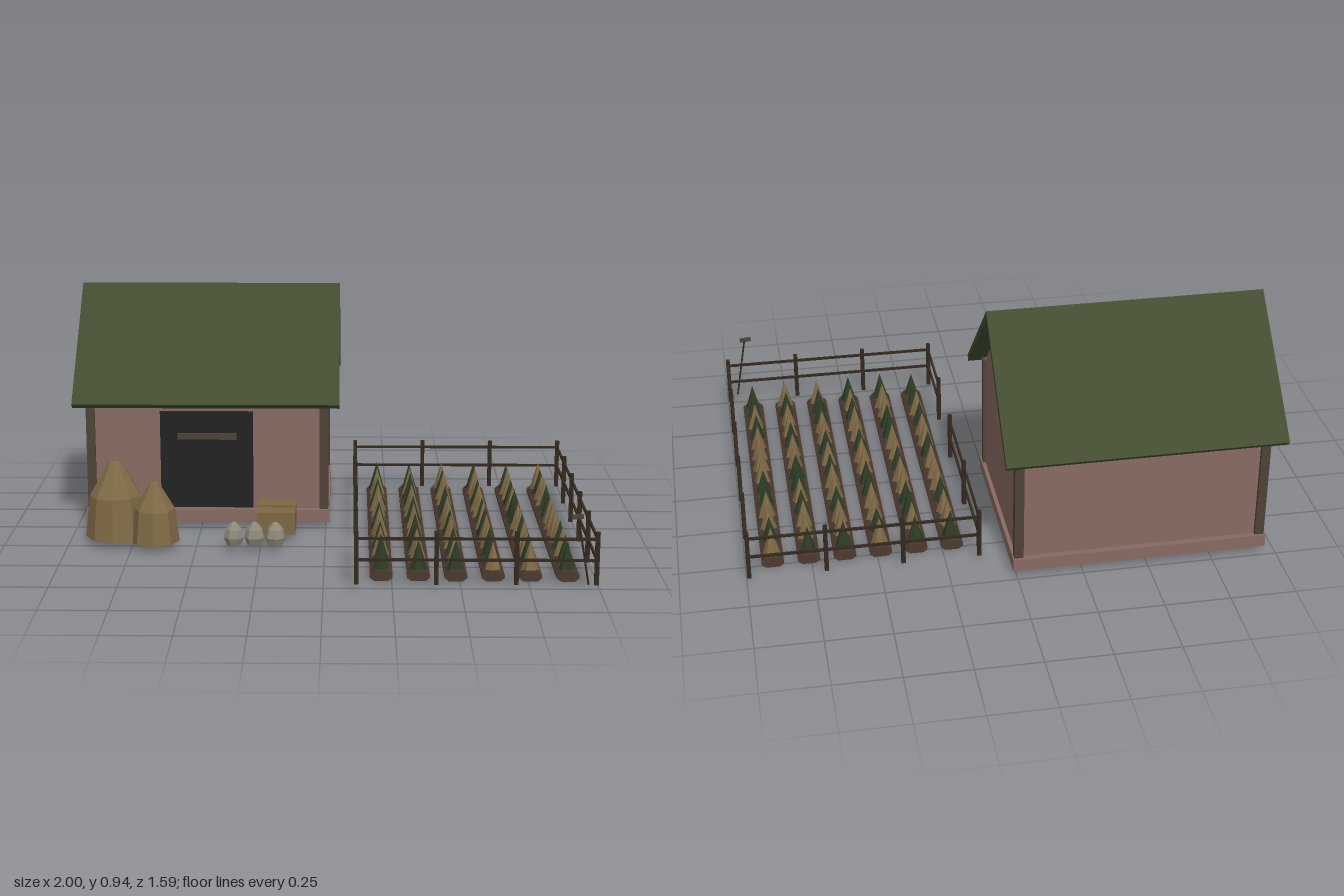
import * as THREE from 'three';

const mat = (name, color, flat = true) => {
  const m = new THREE.MeshStandardMaterial({ color, flatShading: flat });
  m.name = name;
  return m;
};

export function createModel() {
  const M = {
    roof: mat('roofGreen', 0x414c30),
    wall: mat('wallClay', 0x876a60),
    timber: mat('timber', 0x4f4237),
    door: mat('doorCharcoal', 0x232323),
    hay: mat('hay', 0x7f6a45),
    crate: mat('crateWood', 0x7c6843),
    sack: mat('sackcloth', 0x8e8878),
    soil: mat('soil', 0x4c3a2f),
    leaf: mat('leafGreen', 0x2c3c25),
    fence: mat('fenceWood', 0x33291f),
  };
  const root = new THREE.Group();
  root.name = 'farmyard';

  const group = (name) => {
    const g = new THREE.Group();
    g.name = name;
    root.add(g);
    return g;
  };
  const add = (parent, name, geo, material, x = 0, y = 0, z = 0) => {
    const m = new THREE.Mesh(geo, material);
    m.name = name;
    m.position.set(x, y, z);
    parent.add(m);
    return m;
  };
  // Box given by its minimum and maximum on each axis
  const span = (parent, name, material, x0, x1, y0, y1, z0, z1) =>
    add(parent, name, new THREE.BoxGeometry(x1 - x0, y1 - y0, z1 - z0), material,
      (x0 + x1) / 2, (y0 + y1) / 2, (z0 + z1) / 2);
  // Prism along x from a [z, y] outline
  const prism = (parent, name, material, outline, x0, x1) => {
    const shape = new THREE.Shape(outline.map(([z, y]) => new THREE.Vector2(-z, y)));
    const geo = new THREE.ExtrudeGeometry(shape, { depth: x1 - x0, bevelEnabled: false });
    geo.rotateY(Math.PI / 2);
    return add(parent, name, geo, material, x0);
  };
  const lathe = (points, sides) =>
    new THREE.LatheGeometry(points.map(([r, y]) => new THREE.Vector2(r, y)), sides);

  // Barn
  const barn = group('barn');
  const cz = -0.366;
  span(barn, 'foundation', M.wall, -0.96, 0.015, 0.03, 0.08, -0.735, 0.005);
  prism(barn, 'walls', M.wall, [
    [-0.712, 0.08], [-0.02, 0.08], [-0.02, 0.55], [-0.04, 0.55],
    [-0.36, 0.905], [-0.692, 0.55], [-0.712, 0.55],
  ], -0.945, 0);
  for (const x of [-0.955, -0.025]) {
    for (const z of [-0.725, -0.042]) {
      span(barn, 'cornerPost', M.timber, x, x + 0.035, 0.08, 0.55, z, z + 0.033);
    }
  }
  prism(barn, 'roof', M.roof, [
    [cz, 0.94], [cz - 0.43, 0.525], [cz - 0.413, 0.507], [cz, 0.908],
    [cz + 0.413, 0.507], [cz + 0.43, 0.525],
  ], -1, 0.055);
  span(barn, 'door', M.door, -0.66, -0.29, 0.085, 0.48, -0.025, -0.011);
  span(barn, 'doorBar', M.timber, -0.59, -0.355, 0.367, 0.393, -0.012, -0.003);

  // Haystacks
  const stacks = group('haystacks');
  for (const [x, z, r, h, sides] of [[-0.818, 0.185, 0.12, 0.3, 9], [-0.658, 0.26, 0.094, 0.235, 8]]) {
    const geo = lathe([[0, 0], [r, 0], [r * 0.84, h * 0.55], [r * 0.2, h * 0.98], [0, h]], sides);
    add(stacks, 'haystack', geo, M.hay, x, 0.03, z);
  }

  // Crates and sacks
  const goods = group('goods');
  for (const z of [-0.01, 0.1]) {
    span(goods, 'crate', M.crate, -0.267, -0.117, 0.03, 0.118, z, z + 0.08);
  }
  const sackGeo = lathe([[0, 0], [0.028, 0], [0.04, 0.03], [0.032, 0.062], [0.014, 0.084], [0, 0.092]], 7);
  for (const x of [-0.35, -0.27, -0.19]) {
    add(goods, 'sack', sackGeo, M.sack, x, 0.03, 0.307).rotation.y = x * 9;
  }

  // Crop rows, listed from front to back: g is green, t is ripe
  const rows = ['ggtgttgtttgttg', 'gttggttgttggtg', 'gtgttgttggttgt',
    'tggttgtgttgttg', 'tgttgttggtgttg', 'ggtgttttggttgt'];
  const field = group('field');
  const bedShape = new THREE.Shape([[-0.026, 0.003], [0.026, 0.003], [0.042, 0.016], [0.042, 0.026],
    [0.024, 0.043], [-0.024, 0.043], [-0.042, 0.026], [-0.042, 0.016]]
    .map(([x, y]) => new THREE.Vector2(x, y)));
  const bedGeo = new THREE.ExtrudeGeometry(bedShape, { depth: 1.18, bevelEnabled: false });
  const plantGeo = new THREE.ConeGeometry(0.033, 0.112, 6);
  rows.forEach((row, i) => {
    const x = 0.212 + i * 0.137;
    add(field, 'soilBed', bedGeo, M.soil, x, 0, -0.515);
    [...row].forEach((kind, j) => {
      const size = 0.95 + 0.1 * Math.abs(Math.sin(i * 5.1 + j * 2.3));
      const plant = add(field, 'plant', plantGeo, kind === 'g' ? M.leaf : M.hay,
        x, 0.036 + 0.056 * size, 0.63 - j * 0.0847);
      plant.scale.setScalar(size);
      plant.rotation.y = i * 1.7 + j * 0.9;
    });
  });

  // Fence with a gap on its right side
  const fence = group('fence');
  const [xa, xb, za, zb] = [0.12, 0.99, -0.588, 0.743];
  const post = (x, z) => span(fence, 'fencePost', M.fence,
    x - 0.008, x + 0.008, 0.018, 0.218, z - 0.008, z + 0.008);
  const rails = (x0, x1, z0, z1) => {
    for (const y of [0.11, 0.19]) {
      span(fence, 'fenceRail', M.fence, x0 - 0.004, x1 + 0.004, y - 0.005, y + 0.005, z0 - 0.004, z1 + 0.004);
    }
  };
  for (const z of [za, zb]) {
    for (let i = 0; i < 4; i++) post(xa + i * (xb - xa) / 3, z);
    rails(xa, xb, z, z);
  }
  for (let i = 1; i < 5; i++) post(xb, za + i * (zb - za) / 5);
  for (const z of [-0.23, 0.125, 0.435]) post(xa, z);
  rails(xb, xb, za, zb);
  rails(xa, xa, za, 0.125);
  rails(xa, xa, 0.435, zb);

  // Hoe leaning on the front fence
  const hoe = group('hoe');
  const foot = new THREE.Vector3(0.957, 0.03, 0.774);
  const top = new THREE.Vector3(0.912, 0.285, 0.789);
  const shaft = new THREE.LineCurve3(foot, top);
  add(hoe, 'hoeHandle', new THREE.TubeGeometry(shaft, 1, 0.004, 6), M.fence);
  const head = add(hoe, 'hoeHead', new THREE.BoxGeometry(0.046, 0.016, 0.01), M.timber, 0.908, 0.288, 0.787);
  head.rotation.y = 0.2;

  return root;
}
